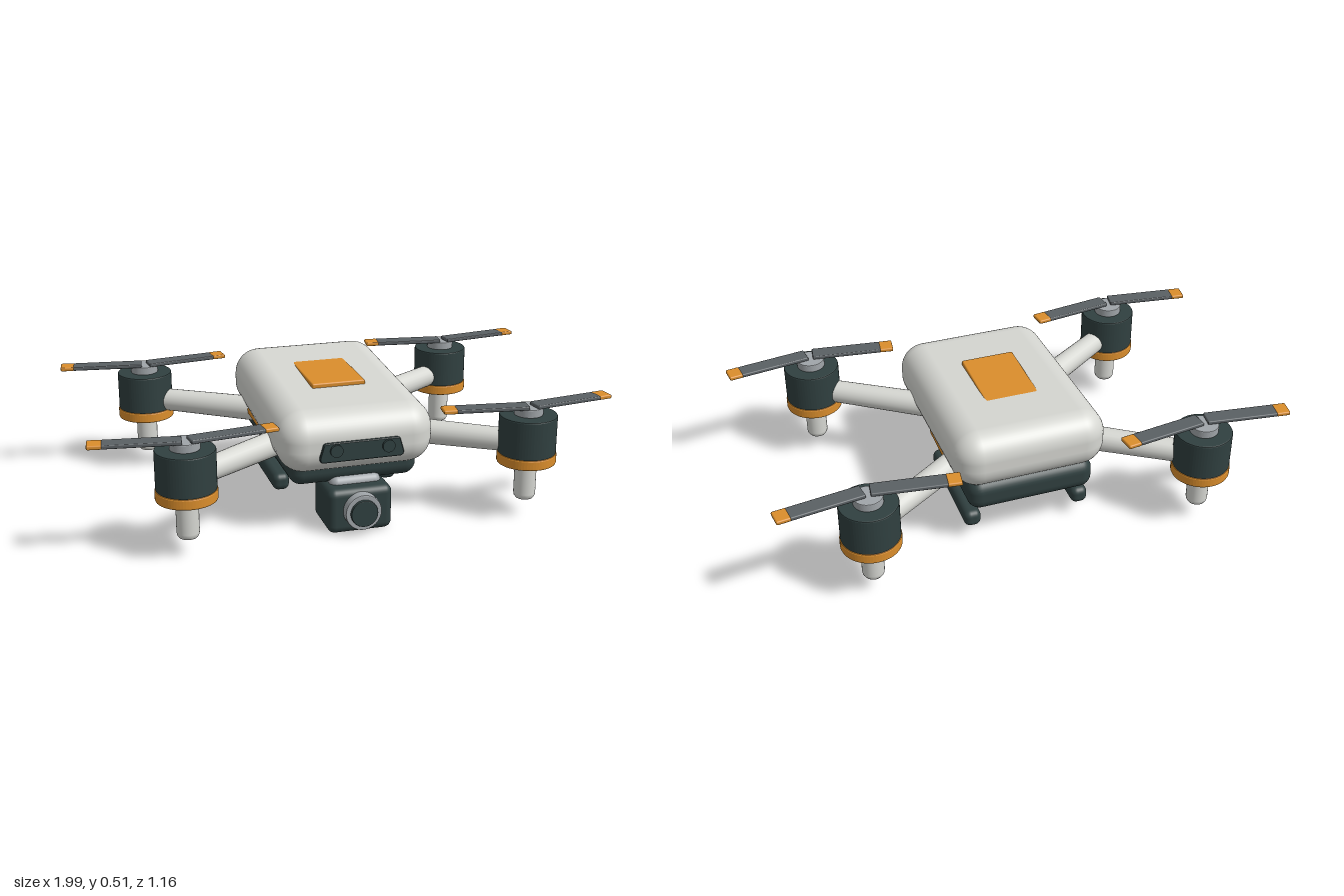
import * as THREE from 'three';
import { RoundedBoxGeometry } from 'three/addons/geometries/RoundedBoxGeometry.js';

const material = (name, color) => {
  const m = new THREE.MeshStandardMaterial({ color });
  m.name = name;
  return m;
};

export function createModel() {
  const shell = material('light shell', 0xd6d7d2);
  const dark = material('dark slate', 0x304040);
  const orange = material('orange accent', 0xdb8e2c);
  const metal = material('grey metal', 0xa0a5a9);
  const bladeGrey = material('blade grey', 0x5a6064);

  const model = new THREE.Group();
  model.name = 'quadcopter';

  function add(name, geometry, mat, x, y, z, parent = model) {
    const mesh = new THREE.Mesh(geometry, mat);
    mesh.name = name;
    mesh.position.set(x, y, z);
    parent.add(mesh);
    return mesh;
  }
  const rounded = (w, h, d, r, seg = 4) => new RoundedBoxGeometry(w, h, d, seg, r);
  // Solid of revolution from [radius, height] points, each edge kept crisp
  const drum = (r, h, bevel) => new THREE.ExtrudeGeometry(
    new THREE.Shape().absarc(0, 0, r - bevel, 0, Math.PI * 2),
    { depth: h - 2 * bevel, bevelSize: bevel, bevelThickness: bevel, bevelSegments: 2, curveSegments: 32 }
  ).translate(0, 0, bevel - h / 2).rotateX(-Math.PI / 2);

  // Main shell, rising gently towards the back
  const rise = new THREE.Matrix4().set(1, 0, 0, 0, 0, 1, -0.057, 0, 0, 0, 1, 0, 0, 0, 0, 1);
  add('bodyShell', rounded(0.6, 0.235, 0.865, 0.1, 6).applyMatrix4(rise), shell, 0, 0.3765, 0.022);
  add('lowerHull', rounded(0.5, 0.13, 0.765, 0.05), dark, 0, 0.24, 0);
  add('topPanel', rounded(0.212, 0.03, 0.33, 0.006, 2), orange, 0, 0.488, -0.002);

  // Front sensor visor with two lenses
  const visor = new THREE.Shape();
  visor.moveTo(-0.15, -0.033);
  visor.lineTo(0.15, -0.033);
  visor.quadraticCurveTo(0.16, -0.03, 0.158, -0.015);
  visor.lineTo(0.145, 0.03);
  visor.quadraticCurveTo(0.143, 0.036, 0.13, 0.036);
  visor.lineTo(-0.13, 0.036);
  visor.quadraticCurveTo(-0.143, 0.036, -0.145, 0.03);
  visor.lineTo(-0.158, -0.015);
  visor.quadraticCurveTo(-0.16, -0.03, -0.15, -0.033);
  add('sensorVisor', new THREE.ExtrudeGeometry(visor, { depth: 0.055, bevelSize: 0.003, bevelThickness: 0.003, bevelSegments: 1 }),
    dark, 0, 0.333, 0.407);
  for (const x of [-0.1, 0.1]) {
    add('sensorLens', new THREE.CylinderGeometry(0.024, 0.024, 0.012, 24).rotateX(Math.PI / 2), dark, x, 0.343, 0.469);
  }

  // Camera on its gimbal mount
  add('gimbalMount', rounded(0.2, 0.095, 0.185, 0.03), metal, 0, 0.158, 0.307);
  add('cameraBody', rounded(0.25, 0.176, 0.212, 0.03), dark, 0, 0.09, 0.35);
  add('lensBarrel', drum(0.07, 0.05, 0.004).rotateX(Math.PI / 2), metal, 0, 0.095, 0.465);
  add('lensGlass', drum(0.052, 0.02, 0.003).rotateX(Math.PI / 2), dark, 0, 0.095, 0.493);

  // Side accents and landing skids
  for (const side of [-1, 1]) {
    add('sideAccent', rounded(0.035, 0.03, 0.19, 0.008, 2), orange, side * 0.27, 0.305, -0.075);
    add('skid', rounded(0.066, 0.068, 0.45, 0.025), dark, side * 0.22, 0.095, -0.1);
  }

  // Leg: cylinder with a rounded foot
  const legProfile = [[0, 0], [0.024, 0], [0.034, 0.005], [0.04, 0.014], [0.042, 0.025], [0.042, 0.16]]
    .map(([r, y]) => new THREE.Vector2(r, y));
  const legGeometry = new THREE.LatheGeometry(legProfile, 24);

  // Arms, motors, legs and propellers at the four corners
  const up = new THREE.Vector3(0, 1, 0);
  for (const sx of [-1, 1]) {
    for (const sz of [-1, 1]) {
      const corner = new THREE.Group();
      corner.name = (sz > 0 ? 'front' : 'back') + (sx > 0 ? 'Left' : 'Right') + 'Rotor';
      corner.position.set(sx * 0.655, 0, sz * 0.467);
      model.add(corner);

      // Arm runs from inside the shell to the motor
      const inner = new THREE.Vector3(sx * 0.2, 0.3, sz * 0.165);
      const outer = new THREE.Vector3(sx * 0.655, 0.3, sz * 0.467);
      const span = outer.clone().sub(inner);
      const arm = add('arm', new THREE.CylinderGeometry(0.044, 0.05, span.length(), 24), shell, 0, 0, 0);
      arm.position.copy(inner).lerp(outer, 0.5);
      arm.quaternion.setFromUnitVectors(up, span.normalize());

      add('leg', legGeometry, shell, 0, 0.07, 0, corner);
      add('motorRing', drum(0.113, 0.042, 0.006), orange, 0, 0.243, 0, corner);
      add('motor', drum(0.11, 0.152, 0.005), dark, 0, 0.337, 0, corner);
      add('rotorHub', drum(0.055, 0.032, 0.003), metal, 0, 0.428, 0, corner);

      // Two blades swept slightly backwards, each with a painted tip
      for (const side of [-1, 1]) {
        const blade = new THREE.Group();
        blade.name = 'blade';
        blade.position.set(0, 0.45, 0.02);
        blade.rotation.y = side * 0.135;
        corner.add(blade);
        add('bladeSpan', rounded(0.278, 0.015, 0.064, 0.004, 1), bladeGrey, side * 0.152, 0, 0, blade);
        add('bladeTip', rounded(0.054, 0.016, 0.065, 0.005, 1), orange, side * 0.314, 0, 0, blade);
      }
    }
  }
  return model;
}
